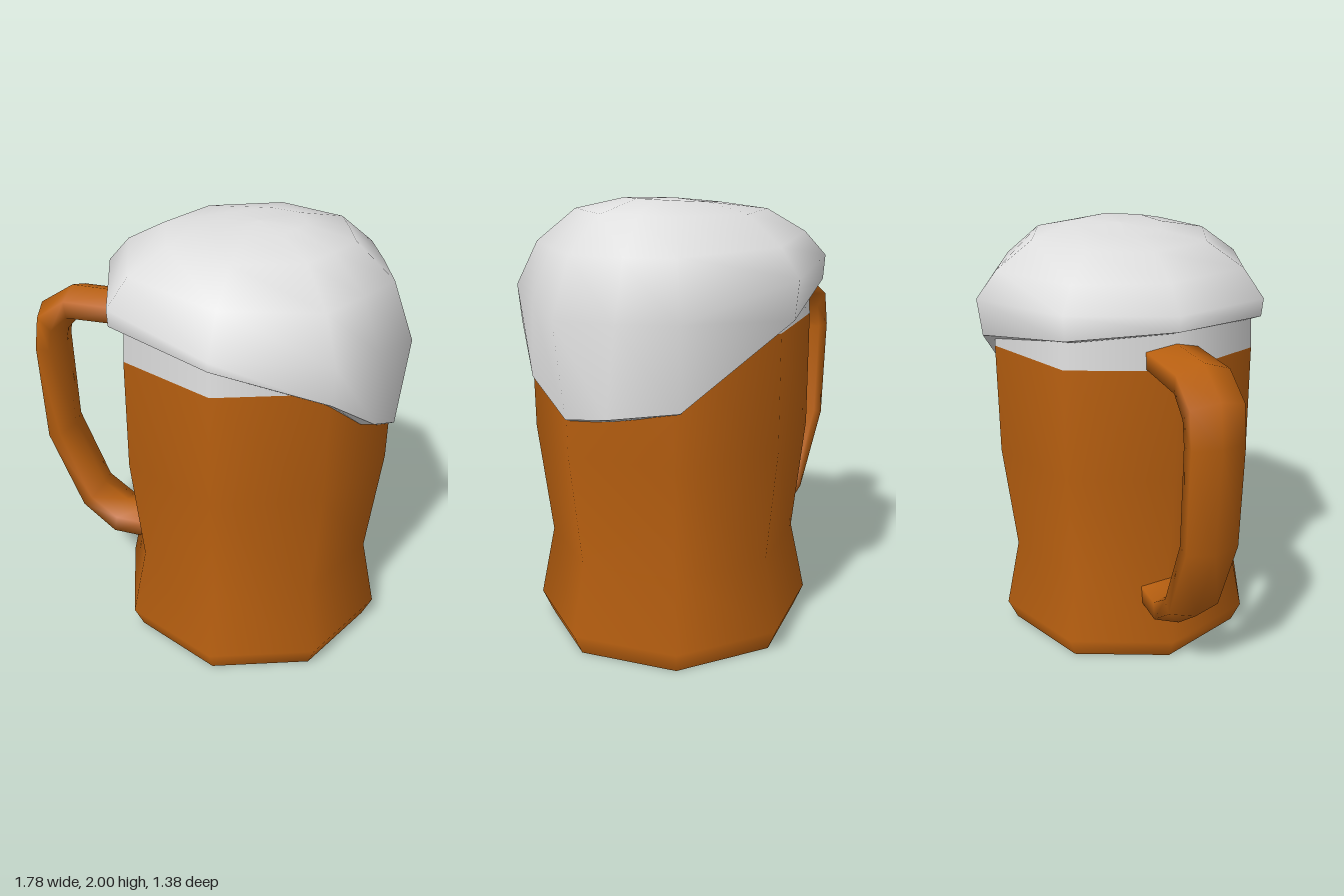
import * as THREE from 'three';

const CX = 0.195, CZ = 0.02; // axis of the mug

// Skin a list of equal-length closed rings with smooth normals
function loft(rings) {
  const n = rings[0].length, index = [];
  for (let r = 0; r < rings.length - 1; r++) {
    for (let i = 0; i < n; i++) {
      const j = (i + 1) % n;
      const a = r * n + i, b = r * n + j, c = b + n, d = a + n;
      index.push(a, d, c, a, c, b);
    }
  }
  const g = new THREE.BufferGeometry();
  g.setAttribute('position', new THREE.Float32BufferAttribute(rings.flat(2), 3));
  g.setIndex(index);
  g.computeVertexNormals();
  return g;
}

export function createModel() {
  const model = new THREE.Group();
  const amber = new THREE.MeshStandardMaterial({ color: 0xb96010 });
  amber.name = 'amber';
  const white = new THREE.MeshStandardMaterial({ color: 0xdedede });
  white.name = 'foamWhite';

  const add = (name, geometry, material) => {
    const mesh = new THREE.Mesh(geometry, material);
    mesh.name = name;
    model.add(mesh);
    return mesh;
  };
  const turned = (name, profile, material) => {
    const pts = profile.map(([r, y]) => new THREE.Vector2(r, y));
    add(name, new THREE.LatheGeometry(pts, 8), material).position.set(CX, 0, CZ);
  };

  // Eight-sided mug with a waist, and its pale rim
  turned('mugBody', [[0.597, 0], [0.642, 0.1], [0.573, 0.43], [0.632, 0.95], [0.634, 1.47]], amber);
  turned('mugRim', [[0.634, 1.47], [0.622, 1.7]], white);
  const base = add('mugBase', new THREE.CircleGeometry(0.597, 8), amber);
  base.rotation.x = Math.PI / 2;
  base.position.set(CX, 0, CZ);

  // Handle: six-sided sections between an outer and an inner outline (x, y)
  const outer = [[-0.36, 1.59], [-0.7, 1.59], [-0.87, 1.48], [-0.895, 1.29],
    [-0.865, 0.8], [-0.69, 0.4], [-0.51, 0.255], [-0.32, 0.255]];
  const inner = [[-0.36, 1.44], [-0.68, 1.43], [-0.74, 1.36], [-0.755, 1.28],
    [-0.74, 0.83], [-0.6, 0.5], [-0.48, 0.42], [-0.32, 0.42]];
  const section = [[0, 0], [0.25, 1], [0.75, 1], [1, 0], [0.75, -1], [0.25, -1]];
  add('handle', loft(outer.map((o, k) => section.map(([t, s]) => [
    o[0] + (inner[k][0] - o[0]) * t,
    o[1] + (inner[k][1] - o[1]) * t,
    CZ + 0.12 * s,
  ]))), amber);

  // Foam: drooping lower edge and widest ring, from +x round through +z
  const edge = [[0.85, 1.12, 0], [0.8, 1.25, 0.27], [0.66, 1.44, 0.51], [0.2, 1.6, 0.685],
    [-0.31, 1.63, 0.48], [-0.5, 1.66, 0], [-0.33, 1.62, -0.44], [0.18, 1.53, -0.67],
    [0.64, 1.19, -0.46], [0.83, 1.16, -0.23]];
  const wide = [[0.89, 1.54, 0.01], [0.79, 1.58, 0.26], [0.67, 1.61, 0.52], [0.2, 1.64, 0.686],
    [-0.31, 1.71, 0.49], [-0.51, 1.73, 0], [-0.33, 1.73, -0.45], [0.18, 1.7, -0.69],
    [0.68, 1.56, -0.5], [0.79, 1.55, -0.25]];

  // Upper rings shrink towards the crown: scale, height, tilt along x
  const crown = [[0.86, 1.82, -0.04], [0.61, 1.943, 0.01], [0.3, 1.983, 0.07], [0, 1.992, 0]]
    .map(([s, y, tilt]) => wide.map(([x, , z]) => {
      const dx = (x - 0.2) * s;
      return [0.2 + dx, y + tilt * dx, z * s];
    }));
  add('foam', loft([edge, wide, ...crown]), white);

  // Underside of the foam, running in to the mug wall
  const tucked = edge.map(([x, y, z]) => [CX + (x - CX) * 0.9, y - 0.025, CZ + (z - CZ) * 0.9]);
  add('foamUnderside', loft([tucked, edge]), white);

  return model;
}
